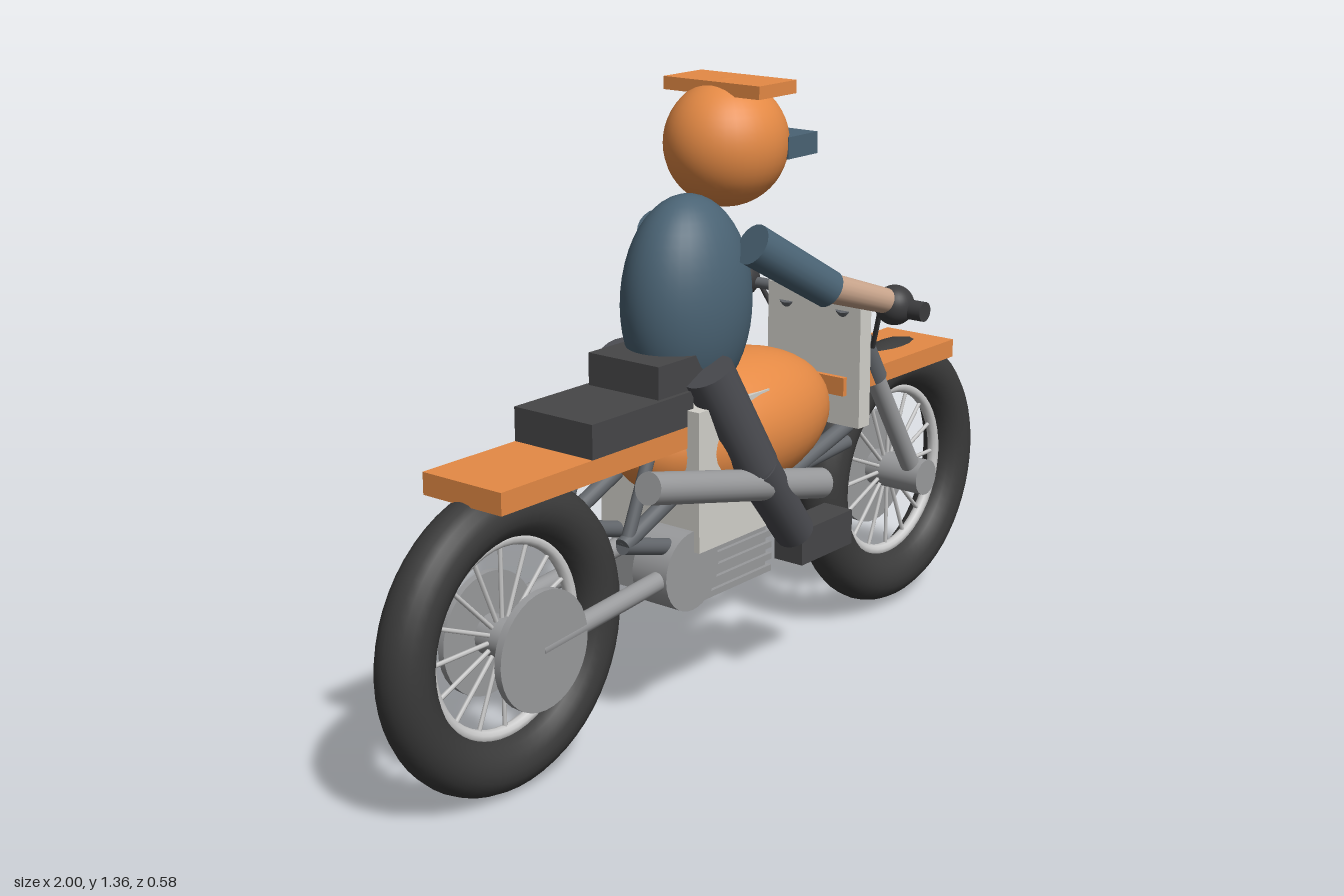
import * as THREE from 'three';

const mat = (color) => new THREE.MeshStandardMaterial({ color });
const M = {
  orange: mat(0xe58a45), slate: mat(0x4a6374), tyre: mat(0x3a3a3a), seat: mat(0x464648),
  trousers: mat(0x4a4b50), panel: mat(0xd2d0ca), metal: mat(0x999a9c), frame: mat(0x62666b),
  chrome: mat(0xc4c6c8), skin: mat(0xc9a58c), glove: mat(0x3c3c3e),
};

export function createModel() {
  const root = new THREE.Group();
  root.name = 'motorcycleAndRider';

  const add = (name, geo, material, parent = root) => {
    const mesh = new THREE.Mesh(geo, material);
    mesh.name = name;
    parent.add(mesh);
    return mesh;
  };
  // Box from its lower and upper limits on each axis
  const box = (name, [x0, x1], [y0, y1], [z0, z1], material) => {
    const m = add(name, new THREE.BoxGeometry(x1 - x0, y1 - y0, z1 - z0), material);
    m.position.set((x0 + x1) / 2, (y0 + y1) / 2, (z0 + z1) / 2);
    return m;
  };
  // Cylinder running between two points
  const rod = (name, from, to, r0, r1, material, parent = root, sides = 20) => {
    const a = new THREE.Vector3(...from), b = new THREE.Vector3(...to);
    const dir = b.clone().sub(a);
    const m = add(name, new THREE.CylinderGeometry(r1, r0, dir.length(), sides), material, parent);
    m.position.copy(a).add(b).multiplyScalar(0.5);
    m.quaternion.setFromUnitVectors(new THREE.Vector3(0, 1, 0), dir.normalize());
    return m;
  };
  const ellipsoid = (name, center, radii, material) => {
    const m = add(name, new THREE.SphereGeometry(1, 36, 24), material);
    m.position.set(...center);
    m.scale.set(...radii);
    return m;
  };

  // Wheels: tyre, rim, spokes, hub and inner disc
  const wheel = (name, x, y, discRadius) => {
    const g = new THREE.Group();
    g.name = name;
    g.position.set(x, y, 0);
    root.add(g);
    add('tyre', new THREE.TorusGeometry(0.267, 0.059, 20, 56), M.tyre, g);
    add('rim', new THREE.TorusGeometry(0.203, 0.014, 10, 48), M.chrome, g);
    const spokes = 16;
    for (let i = 0; i < spokes; i++) {
      const a = (i / spokes) * Math.PI * 2;
      const c = Math.cos(a), s = Math.sin(a);
      rod('spoke', [c * 0.03, s * 0.03, 0], [c * 0.205, s * 0.205, 0], 0.005, 0.005, M.chrome, g, 6);
    }
    rod('hub', [0, 0, -0.113], [0, 0, 0.113], 0.043, 0.043, M.metal, g, 24);
    rod('brakeDisc', [0, 0, -0.05], [0, 0, -0.035], discRadius, discRadius, M.metal, g, 36);
  };
  wheel('rearWheel', -0.674, 0.327, 0.13);
  wheel('frontWheel', 0.674, 0.342, 0.14);
  rod('rearSprocket', [-0.674, 0.327, 0.098], [-0.674, 0.327, 0.115], 0.125, 0.125, M.metal, root, 36);

  // Bodywork
  box('rearFender', [-0.775, -0.2], [0.63, 0.677], [-0.105, 0.105], M.orange);
  box('frontFender', [0.35, 0.805], [0.613, 0.656], [-0.095, 0.095], M.orange);
  box('seat', [-0.515, -0.2], [0.65, 0.75], [-0.105, 0.105], M.seat);
  box('seatHump', [-0.3, -0.12], [0.745, 0.82], [-0.095, 0.095], M.seat);
  ellipsoid('fuelTank', [0.032, 0.61, 0], [0.318, 0.16, 0.173], M.orange);
  box('sidePanel', [-0.22, 0.02], [0.405, 0.712], [-0.136, 0.136], M.panel);
  box('frontPlate', [0.363, 0.405], [0.54, 0.85], [-0.13, 0.13], M.panel);

  // Engine block with horizontal fins and a round side cover
  box('engineBlock', [-0.22, 0.045], [0.285, 0.41], [-0.108, 0.108], M.metal);
  for (let i = 0; i < 5; i++) {
    const y = 0.285 + i * 0.027;
    box('engineFin', [-0.22, 0.055], [y, y + 0.014], [-0.117, 0.117], M.metal);
  }
  rod('engineCover', [-0.225, 0.365, 0.03], [-0.225, 0.365, 0.122], 0.087, 0.087, M.metal, root, 32);
  rod('muffler', [-0.42, 0.607, 0.167], [0.17, 0.468, 0.165], 0.034, 0.034, M.metal, root, 24);

  // Handlebar
  rod('handlebar', [0.38, 0.835, -0.28], [0.38, 0.835, 0.28], 0.013, 0.013, M.frame);

  // Paired parts on both sides
  for (const s of [1, -1]) {
    rod('swingArm', [-0.674, 0.327, s * 0.095], [-0.2, 0.37, s * 0.095], 0.021, 0.021, M.metal);
    rod('upperFrameTube', [-0.41, 0.465, s * 0.09], [-0.18, 0.56, s * 0.09], 0.018, 0.018, M.frame);
    rod('lowerFrameTube', [-0.41, 0.465, s * 0.09], [-0.18, 0.40, s * 0.09], 0.018, 0.018, M.frame);
    rod('rearStrut', [-0.4, 0.465, s * 0.09], [-0.32, 0.65, s * 0.09], 0.014, 0.014, M.frame);
    rod('downTube', [0, 0.42, s * 0.07], [0.4, 0.53, s * 0.07], 0.019, 0.019, M.frame);
    rod('cradleTube', [0.13, 0.47, s * 0.07], [0.4, 0.49, s * 0.07], 0.017, 0.017, M.frame);

    rod('forkUpper', [0.38, 0.82, s * 0.079], [0.5, 0.625, s * 0.079], 0.028, 0.028, M.frame);
    rod('forkLower', [0.44, 0.72, s * 0.079], [0.674, 0.342, s * 0.079], 0.023, 0.023, M.metal);
    rod('handleGrip', [0.38, 0.835, s * 0.2], [0.38, 0.835, s * 0.29], 0.022, 0.022, M.glove);
    rod('controlCable', [0.385, 0.83, s * 0.17], [0.42, 0.72, s * 0.125], 0.006, 0.006, M.glove, root, 8);

    rod('upperArm', [-0.035, 1.035, s * 0.13], [0.16, 0.912, s * 0.187], 0.046, 0.042, M.slate);
    rod('forearm', [0.13, 0.925, s * 0.18], [0.36, 0.85, s * 0.213], 0.034, 0.028, M.skin);
    ellipsoid('hand', [0.37, 0.842, s * 0.216], [0.045, 0.045, 0.044], M.glove);

    rod('thigh', [-0.165, 0.785, s * 0.115], [-0.055, 0.56, s * 0.155], 0.056, 0.052, M.trousers);
    ellipsoid('knee', [-0.055, 0.56, s * 0.155], [0.052, 0.052, 0.046], M.trousers);
    rod('shin', [-0.055, 0.56, s * 0.155], [0.09, 0.375, s * 0.153], 0.05, 0.045, M.trousers);
    box('boot', [0.07, 0.257], [0.308, 0.388], [s * 0.152 - 0.038, s * 0.152 + 0.038], M.seat);
  }

  // Rider's body and helmet
  ellipsoid('torso', [-0.093, 0.905, 0], [0.16, 0.23, 0.126], M.slate);
  ellipsoid('helmet', [0.041, 1.226, 0], [0.14, 0.136, 0.131], M.orange);
  box('visor', [0.104, 0.207], [1.193, 1.24], [-0.118, 0.118], M.slate);
  box('helmetPeak', [-0.012, 0.116], [1.333, 1.361], [-0.128, 0.128], M.orange);

  return root;
}
